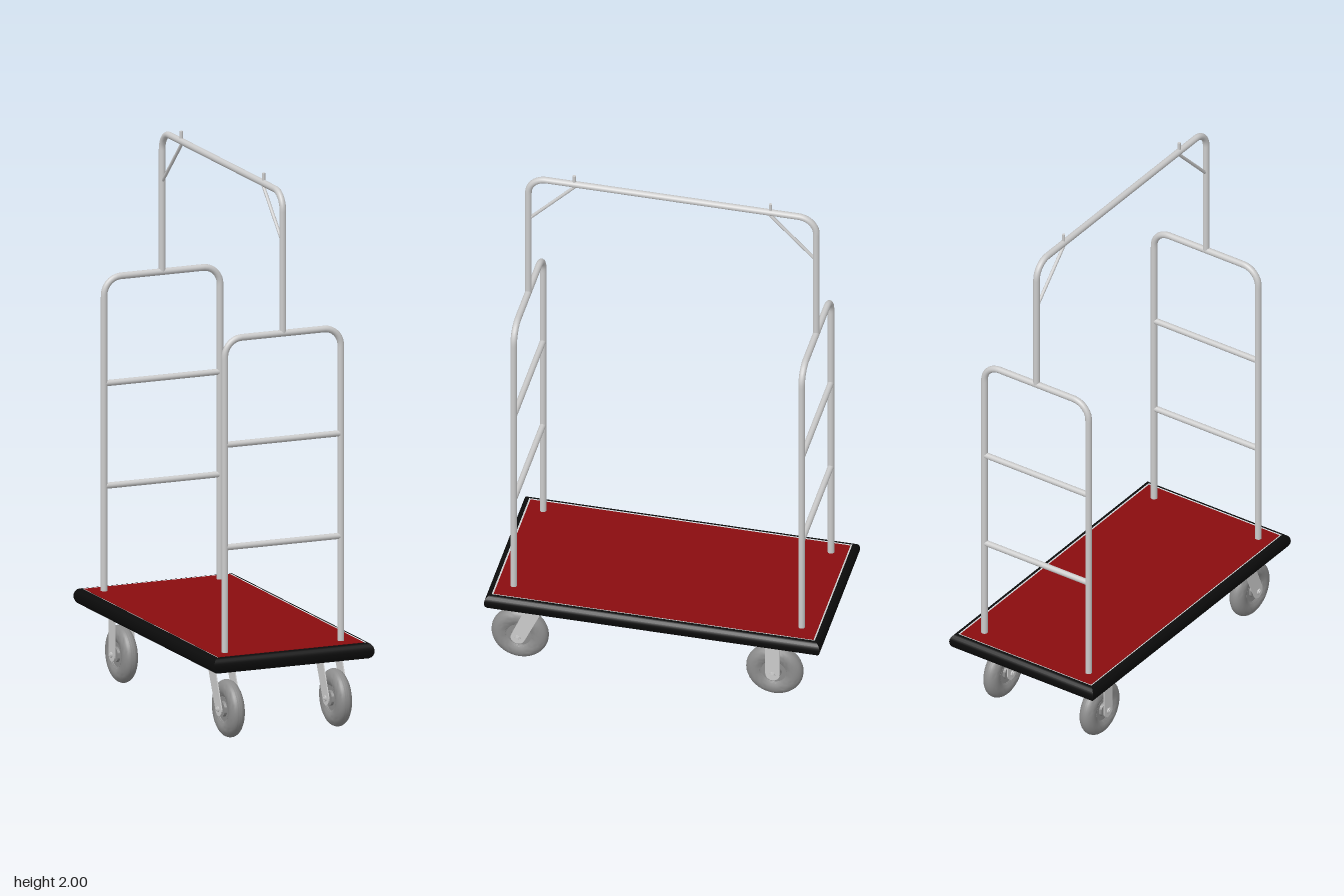
import * as THREE from 'three';
import { toCreasedNormals } from 'three/addons/utils/BufferGeometryUtils.js';

const mat = (color) => new THREE.MeshStandardMaterial({ color });
const V = (x, y, z) => new THREE.Vector3(x, y, z);

export function createModel() {
  const root = new THREE.Group();
  const steel = mat(0xcccccc), tyreGrey = mat(0x8c8c8c), black = mat(0x0b0b0b);
  const red = mat(0x8a0c0f), brown = mat(0x78634a);

  const add = (parent, name, geo, material, x = 0, y = 0, z = 0) => {
    const m = new THREE.Mesh(geo, material);
    m.name = name;
    m.position.set(x, y, z);
    parent.add(m);
    return m;
  };
  // straight round bar between two points
  const bar = (parent, name, a, b, r, sides = 14) => {
    const m = add(parent, name, new THREE.CylinderGeometry(r, r, a.distanceTo(b), sides), steel);
    m.position.copy(a).lerp(b, 0.5);
    m.quaternion.setFromUnitVectors(V(0, 1, 0), b.clone().sub(a).normalize());
    return m;
  };
  // upside-down U of bent tube: place(u, y) maps the flat bend into space
  const bentTube = (parent, name, half, y0, y1, bend, r, place) => {
    const k = bend * 0.4477, path = new THREE.CurvePath();
    const corner = (s) => [place(s * half, y1 - bend), place(s * half, y1 - k),
      place(s * (half - k), y1), place(s * (half - bend), y1)];
    const a = corner(-1), b = corner(1).reverse();
    path.add(new THREE.LineCurve3(place(-half, y0), a[0]));
    path.add(new THREE.CubicBezierCurve3(...a));
    path.add(new THREE.LineCurve3(a[3], b[0]));
    path.add(new THREE.CubicBezierCurve3(...b));
    path.add(new THREE.LineCurve3(b[3], place(half, y0)));
    add(parent, name, new THREE.TubeGeometry(path, 200, r, 14), steel);
  };

  // deck: metal tray, carpet and underside board
  const deck = new THREE.Group();
  deck.name = 'deck';
  root.add(deck);
  const hx = 0.288, hz = 0.588;
  add(deck, 'tray', new THREE.BoxGeometry(hx * 2, 0.054, hz * 2), steel, 0, 0.285, 0);
  add(deck, 'carpet', new THREE.BoxGeometry(0.564, 0.01, 1.164), red, 0, 0.309, 0);
  add(deck, 'undersideBoard', new THREE.BoxGeometry(0.564, 0.01, 1.164), brown, 0, 0.261, 0);

  // bumper: rounded profile carried round the rectangle with mitred corners
  const profile = [[0, 0.256]];
  for (let i = 0; i <= 10; i++) {
    const t = -Math.PI / 2 + (i / 10) * Math.PI;
    profile.push([0.002 + 0.021 * Math.cos(t), 0.285 + 0.029 * Math.sin(t)]);
  }
  profile.push([0, 0.314]);
  const BASE = 1; // keeps the lathe away from its axis; removed again below
  let bumper = new THREE.LatheGeometry(profile.map(([r, y]) => new THREE.Vector2(BASE + r, y)), 4, Math.PI / 4);
  const p = bumper.attributes.position;
  for (let i = 0; i < p.count; i++) {
    const off = Math.hypot(p.getX(i), p.getZ(i)) - BASE;
    p.setX(i, Math.sign(p.getX(i)) * (hx + off));
    p.setZ(i, Math.sign(p.getZ(i)) * (hz + off));
  }
  add(deck, 'bumper', toCreasedNormals(bumper, 0.6), black);

  // end frames with two rungs each
  const cx = -0.006, half = 0.225, fz = 0.524;
  for (const s of [1, -1]) {
    const frame = new THREE.Group();
    frame.name = s > 0 ? 'frontFrame' : 'backFrame';
    root.add(frame);
    bentTube(frame, 'uprights', half, 0.3, 1.453, 0.065, 0.012, (u, y) => V(cx + u, y, s * fz));
    for (const y of [0.695, 1.068])
      bar(frame, 'rung', V(cx - half, y, s * fz), V(cx + half, y, s * fz), 0.011);
  }

  // hanging rail with corner braces and stop pins
  const rail = new THREE.Group();
  rail.name = 'hangingRail';
  root.add(rail);
  bentTube(rail, 'railTube', fz, 1.453, 1.963, 0.065, 0.012, (u, y) => V(cx, y, u));
  for (const s of [1, -1]) {
    bar(rail, 'brace', V(cx, 1.782, s * 0.522), V(cx, 1.955, s * 0.352), 0.006, 10);
    bar(rail, 'stopPin', V(cx, 1.95, s * 0.357), V(cx, 2, s * 0.357), 0.006, 10);
  }

  // wheel: tyre and hub, both turned about the axle
  const R = 0.104;
  const turned = (pts) => {
    const g = new THREE.LatheGeometry(pts.map(([r, y]) => new THREE.Vector2(r, y)), 40);
    g.rotateZ(-Math.PI / 2);
    return toCreasedNormals(g, 0.6);
  };
  const tyrePts = [[0.045, -0.02]];
  for (let i = 0; i <= 14; i++) {
    const t = -Math.PI * 0.6 + (i / 14) * Math.PI * 1.2;
    tyrePts.push([R - 0.034 + 0.034 * Math.cos(t), 0.029 * Math.sin(t)]);
  }
  tyrePts.push([0.045, 0.02]);
  const tyreGeo = turned(tyrePts);
  const hubGeo = turned([[0, -0.026], [0.026, -0.026], [0.028, -0.017], [0.046, -0.017], [0.05, -0.023],
    [0.05, 0.023], [0.046, 0.017], [0.028, 0.017], [0.026, 0.026], [0, 0.026]]);

  // fork cheek: strap from the mounting plate to a rounded end at the axle
  const cheekGeo = (lean) => {
    const w = 0.026, top = 0.15, n = 10, sh = new THREE.Shape();
    const ang = Math.atan2(lean, top);
    sh.moveTo(lean + w + Math.abs(lean) * 0.08, top);
    sh.lineTo(lean - w - Math.abs(lean) * 0.08, top);
    for (let i = 0; i <= n; i++) {
      const t = Math.PI - ang + (i / n) * Math.PI;
      sh.lineTo(w * Math.cos(t), w * Math.sin(t));
    }
    sh.closePath();
    const g = new THREE.ExtrudeGeometry(sh, { depth: 0.004, bevelEnabled: false });
    g.translate(0, 0, -0.002);
    g.rotateY(-Math.PI / 2); // shape x becomes +z
    return g;
  };

  const caster = (name, x, z, lean) => {
    const c = new THREE.Group();
    c.name = name;
    c.position.set(x, R, z);
    root.add(c);
    add(c, 'tyre', tyreGeo, tyreGrey);
    add(c, 'hub', hubGeo, tyreGrey);
    const cheek = cheekGeo(lean);
    for (const s of [1, -1]) {
      add(c, 'forkCheek', cheek, steel, s * 0.037, 0, 0);
      bar(c, 'axleNut', V(s * 0.037, 0, 0), V(s * 0.045, 0, 0), 0.011, 6);
    }
    bar(c, 'axle', V(-0.048, 0, 0), V(0.048, 0, 0), 0.006, 12);
    add(c, 'forkCrown', new THREE.BoxGeometry(0.078, 0.005, 0.056), steel, 0, 0.1475, lean);
    add(c, 'mountingPlate', new THREE.BoxGeometry(0.08, 0.005, 0.085), steel, 0, 0.1515, lean);
  };
  for (const s of [1, -1]) {
    const side = s > 0 ? 'left' : 'right';
    caster(side + 'FrontSwivelCaster', s * 0.208, 0.503, -0.066);
    caster(side + 'BackFixedCaster', s * 0.208, -0.424, 0);
  }
  return root;
}
